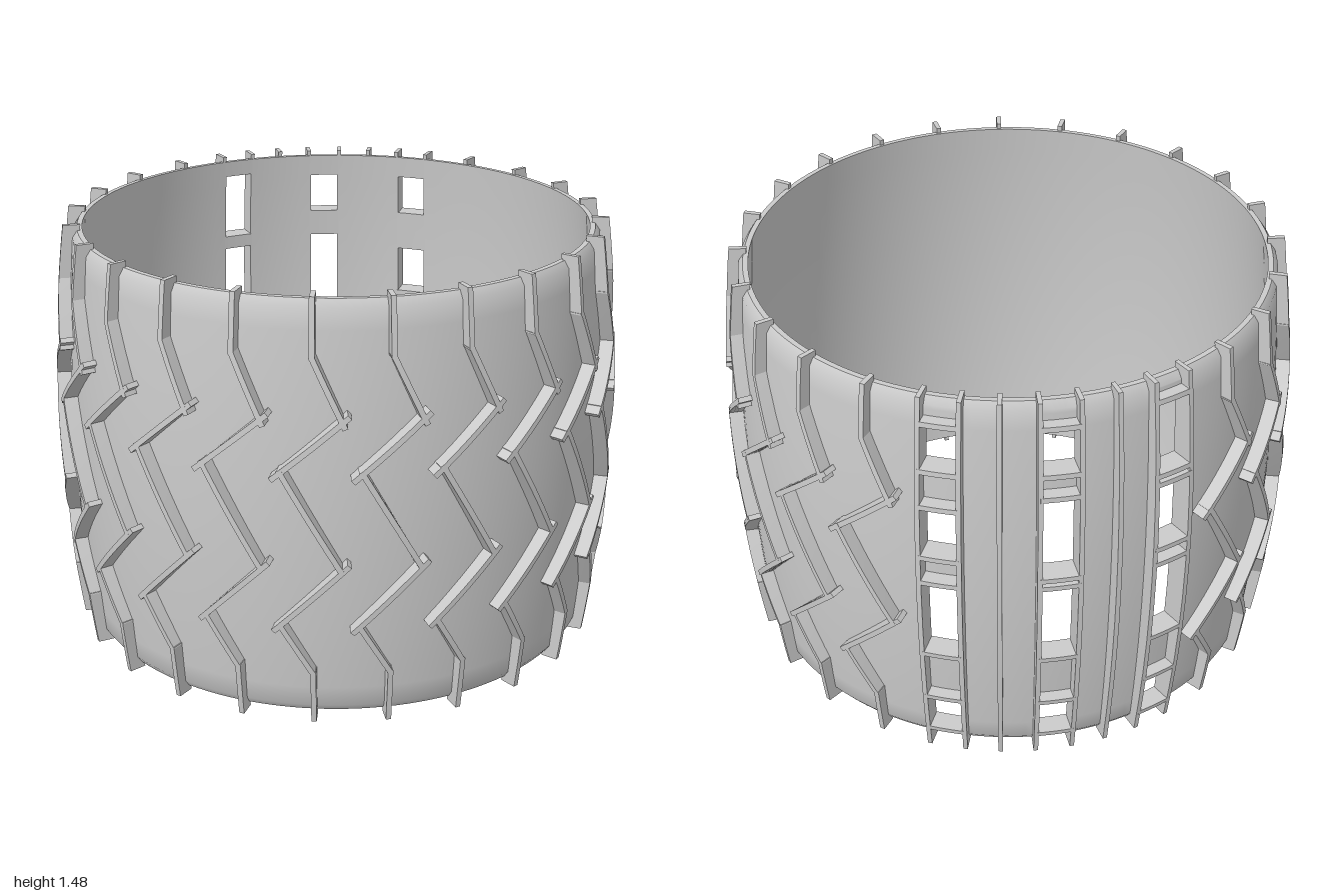
import * as THREE from 'three';
import { toCreasedNormals } from 'three/addons/utils/BufferGeometryUtils.js';

const RAD = Math.PI / 180;
const HEIGHT = 1.48, RIM_LOW = 0.02, RIM_HIGH = 1.46;
const material = new THREE.MeshStandardMaterial({ color: 0xcccccc });

// Barrel-shaped radii as functions of height
const bulge = (y) => ((y - HEIGHT / 2) / (HEIGHT / 2)) ** 2;
const finRadius = (y) => 1.0 - 0.053 * bulge(y);
const wallRadius = (y) => 0.95 - 0.038 * bulge(y);
const innerRadius = (y) => 0.917 - 0.038 * bulge(y);
const treadRoot = (y) => wallRadius(y) - 0.025;

function addMesh(parent, geometry, name) {
  const mesh = new THREE.Mesh(geometry, material);
  mesh.name = name;
  parent.add(mesh);
}

// A thick curved piece of drum wall between two angles (degrees) and two heights
function wallPiece(a0, a1, y0 = RIM_LOW, y1 = RIM_HIGH) {
  const heights = [];
  const steps = Math.max(2, Math.ceil((y1 - y0) / 0.1));
  for (let i = 0; i <= steps; i++) heights.push(y0 + ((y1 - y0) * i) / steps);
  const outer = heights.map((y) => new THREE.Vector2(wallRadius(y), y));
  const inner = heights.map((y) => new THREE.Vector2(innerRadius(y), y)).reverse();
  // bevelled rims
  if (y0 === RIM_LOW) {
    outer[0].x -= 0.015;
    outer.splice(1, 0, new THREE.Vector2(wallRadius(y0 + 0.025), y0 + 0.025));
  }
  if (y1 === RIM_HIGH) {
    outer[outer.length - 1].x -= 0.015;
    outer.splice(outer.length - 1, 0, new THREE.Vector2(wallRadius(y1 - 0.025), y1 - 0.025));
  }
  const segments = Math.max(3, Math.ceil((a1 - a0) / 2.5));
  const profile = [...outer, ...inner, outer[0].clone()];
  return toCreasedNormals(
    new THREE.LatheGeometry(profile, segments, a0 * RAD, (a1 - a0) * RAD), 0.6);
}

// A thin radial blade following the drum from one [angle, height] to another
function blade([a0, y0], [a1, y1], thickness, inside) {
  const geometry = new THREE.BoxGeometry(1, 1, 1, 1, 10, 1);
  const along = new THREE.Vector2((a1 - a0) * RAD * 0.97, y1 - y0).normalize();
  const pos = geometry.attributes.position;
  for (let i = 0; i < pos.count; i++) {
    const t = pos.getY(i) + 0.5, side = pos.getX(i) * thickness;
    const angle = (a0 + (a1 - a0) * t) * RAD + (along.y * side) / 0.97;
    const y = y0 + (y1 - y0) * t - along.x * side;
    const r = pos.getZ(i) > 0 ? finRadius(y) : inside(y);
    pos.setXYZ(i, r * Math.sin(angle), y, r * Math.cos(angle));
  }
  geometry.computeVertexNormals();
  return geometry;
}

// Strokes of one zigzag tread: angle offset from its centre, height
const treadStrokes = [
  [[0, 1.48], [0, 1.285]],
  [[-0.1, 1.295], [6.1, 1.065]],
  [[6.9, 1.105], [-7.5, 0.89]],
  [[-6, 0.925], [5.5, 0.575]],
  [[6.9, 0.6], [-7.5, 0.35]],
  [[-6, 0.37], [0.1, 0.19]],
  [[0, 0.2], [0, 0]],
];

// Window columns: centre angle and the height range of each opening
const columns = [
  { centre: -157.5, windows: [[0.10, 0.25], [0.48, 0.78], [0.90, 1.08], [1.23, 1.38]] },
  { centre: -135, windows: [[0.10, 0.25], [0.48, 0.78], [0.83, 1.13], [1.23, 1.38]] },
  { centre: -112.5, windows: [[0.09, 0.25], [0.47, 0.78], [0.86, 1.10], [1.15, 1.40]] },
];
const HALF_WINDOW = 3.7, HALF_FRAME = 3.85;

export function createModel() {
  const model = new THREE.Group();
  model.name = 'treadedDrum';

  // Drum wall: the large plain part and the strips between window columns
  const drum = new THREE.Group();
  drum.name = 'drum';
  model.add(drum);
  addMesh(drum, wallPiece(-112.5 + HALF_WINDOW, 202.5 - HALF_WINDOW), 'mainWall');
  for (const a of [-157.5, -135]) {
    addMesh(drum, wallPiece(a + HALF_WINDOW, a + 22.5 - HALF_WINDOW), 'wallStrip');
  }

  // Zigzag treads, leaving out the four places taken by the windows
  const treads = new THREE.Group();
  treads.name = 'treads';
  model.add(treads);
  for (let k = 0; k < 24; k++) {
    const centre = 7.5 + 15 * k;
    if (centre > 195 && centre < 255) continue;
    const tread = new THREE.Group();
    tread.name = 'tread';
    for (const [from, to] of treadStrokes) {
      addMesh(tread, blade([centre + from[0], from[1]], [centre + to[0], to[1]], 0.018, treadRoot), 'treadBlade');
    }
    treads.add(tread);
  }

  // Window columns: solid wall between openings, upright rails and crossbars
  for (const { centre, windows } of columns) {
    const column = new THREE.Group();
    column.name = 'windowColumn';
    model.add(column);
    const edges = [RIM_LOW, ...windows.flat(), RIM_HIGH];
    for (let i = 0; i < edges.length; i += 2) {
      addMesh(column, wallPiece(centre - HALF_WINDOW, centre + HALF_WINDOW, edges[i], edges[i + 1]), 'windowPanel');
    }
    for (const s of [-1, 1]) {
      const a = centre + s * HALF_FRAME;
      addMesh(column, blade([a, 0], [a, HEIGHT], 0.016, (y) => innerRadius(y) + 0.002), 'windowRail');
    }
    windows.forEach(([low, high]) => {
      for (const y of [low - 0.009, high + 0.009]) {
        addMesh(column, blade([centre - HALF_FRAME, y], [centre + HALF_FRAME, y], 0.018, (h) => innerRadius(h) + 0.01), 'crossbar');
      }
    });
  }

  // Plain upright slats between the columns
  for (const a of [-146.25, -123.75]) {
    addMesh(model, blade([a, 0], [a, HEIGHT], 0.016, treadRoot), 'uprightSlat');
  }
  return model;
}
